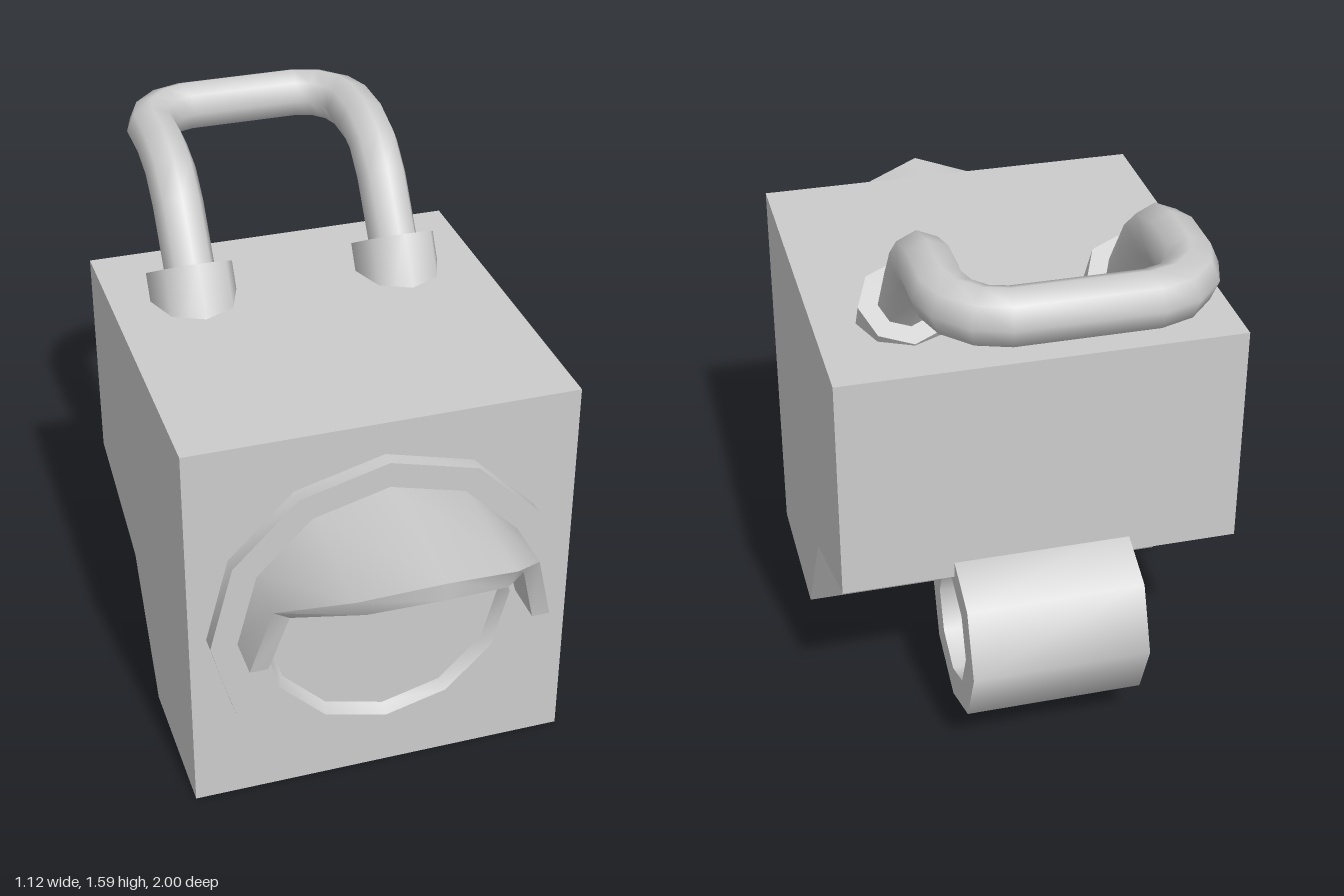
import * as THREE from 'three';
import { toCreasedNormals } from 'three/addons/utils/BufferGeometryUtils.js';

const material = new THREE.MeshStandardMaterial({ color: 0xcccccc });
const V3 = (x, y, z) => new THREE.Vector3(x, y, z);

function part(name, geometry, crease = 0.9) {
  const mesh = new THREE.Mesh(toCreasedNormals(geometry, crease), material);
  mesh.name = name;
  return mesh;
}

// Extrudes a [z, y] outline across x, centred on x = 0.
function extrudeAcross(outline, width, hole) {
  const toPoints = (list) => list.map(([z, y]) => new THREE.Vector2(z, y));
  const shape = new THREE.Shape(toPoints(outline));
  if (hole) shape.holes.push(new THREE.Path(toPoints(hole)));
  return new THREE.ExtrudeGeometry(shape, { depth: width, bevelEnabled: false })
    .translate(0, 0, -width / 2)
    .rotateY(-Math.PI / 2);
}

function polygon(cz, cy, radius, sides) {
  return Array.from({ length: sides }, (_, i) => {
    const a = (i / sides) * Math.PI * 2;
    return [cz + radius * Math.cos(a), cy + radius * Math.sin(a)];
  });
}

// Path with one tube ring exactly at each point, mitred at the bends.
class PointPath extends THREE.Curve {
  constructor(points) {
    super();
    this.points = points;
  }
  getPoint(t, target = V3()) {
    const f = t * (this.points.length - 1);
    const i = Math.min(Math.floor(f), this.points.length - 2);
    return target.lerpVectors(this.points[i], this.points[i + 1], f - i);
  }
  getPointAt(t, target) {
    return this.getPoint(t, target);
  }
  getTangentAt(t, target = V3()) {
    const last = this.points.length - 1;
    const i = Math.round(t * last);
    target.set(0, 0, 0);
    for (let j = Math.max(i - 1, 0); j < Math.min(i + 1, last); j++) {
      target.add(this.points[j + 1].clone().sub(this.points[j]).normalize());
    }
    return target.normalize();
  }
}

// Half-ring hood whose front edge is cut back towards the sides.
function visorGeometry() {
  const outer = 0.435, inner = 0.383, back = 0.54;
  const reach = [1.0, 0.935, 0.718, 0.68];
  const sections = [];
  for (let k = -3; k <= 3; k++) {
    const s = Math.sin((k * Math.PI) / 6), c = Math.cos((k * Math.PI) / 6);
    const front = reach[Math.abs(k)];
    sections.push([[outer, back], [outer, front], [inner, front], [inner, back]]
      .map(([r, z]) => [r * s, r * c, z]));
  }
  const positions = [];
  const quad = (a, b, c, d) => positions.push(...a, ...b, ...c, ...a, ...c, ...d);
  for (let k = 0; k < 6; k++) {
    const p = sections[k], q = sections[k + 1];
    for (let j = 0; j < 4; j++) {
      const n = (j + 1) % 4;
      quad(p[j], p[n], q[n], q[j]);
    }
  }
  quad(...sections[6]);
  quad(...[...sections[0]].reverse());
  const geometry = new THREE.BufferGeometry();
  geometry.setAttribute('position', new THREE.Float32BufferAttribute(positions, 3));
  return geometry;
}

export function createModel() {
  const model = new THREE.Group();
  model.name = 'lampHousing';

  // Box housing with the lower back corner cut away
  model.add(part('body', extrudeAcross([
    [0.51, 0], [0.51, 1.188], [-0.62, 1.188], [-0.62, 0.527], [-0.195, 0.382], [0.04, 0],
  ], 1.124), 0.1));

  // Round bezel with a shallow recessed lens
  const lensCentre = 0.577;
  const bezel = part('bezelAndLens', new THREE.LatheGeometry([
    [0.512, 0.5], [0.512, 0.555], [0.366, 0.555], [0.346, 0.52], [0, 0.52],
  ].map(([r, z]) => new THREE.Vector2(r, z)), 12).rotateX(Math.PI / 2), 0.65);
  bezel.position.y = lensCentre;
  model.add(bezel);

  const visor = part('visor', visorGeometry(), 0.65);
  visor.position.y = lensCentre;
  model.add(visor);

  // Hollow mounting sleeve under the back edge
  model.add(part('mountingSleeve', extrudeAcross(
    polygon(-0.587, 0.335, 0.253, 8), 0.5, polygon(-0.587, 0.335, 0.16, 8))));

  // Bent carrying handle, mirrored about x = 0
  const half = [
    V3(0.315, 1.13, -0.277), V3(0.315, 1.265, -0.362), V3(0.315, 1.415, -0.468),
    V3(0.315, 1.485, -0.548), V3(0.315, 1.515, -0.65), V3(0.315, 1.515, -0.78),
    V3(0.294, 1.515, -0.848), V3(0.242, 1.515, -0.903), V3(0.175, 1.515, -0.925),
  ];
  const mirrored = half.map((p) => V3(-p.x, p.y, p.z)).reverse();
  const path = new PointPath([...half, ...mirrored]);
  model.add(part('handle',
    new THREE.TubeGeometry(path, path.points.length - 1, 0.076, 8, false), 1.0));

  // Tilted sockets holding the handle ends
  for (const [side, name] of [[1, 'leftSocket'], [-1, 'rightSocket']]) {
    const socket = part(name,
      new THREE.CylinderGeometry(0.13, 0.13, 0.3, 8).translate(0, -0.15, 0));
    socket.position.set(side * 0.315, 1.26, -0.36);
    socket.rotation.x = -0.535;
    model.add(socket);
  }
  return model;
}
